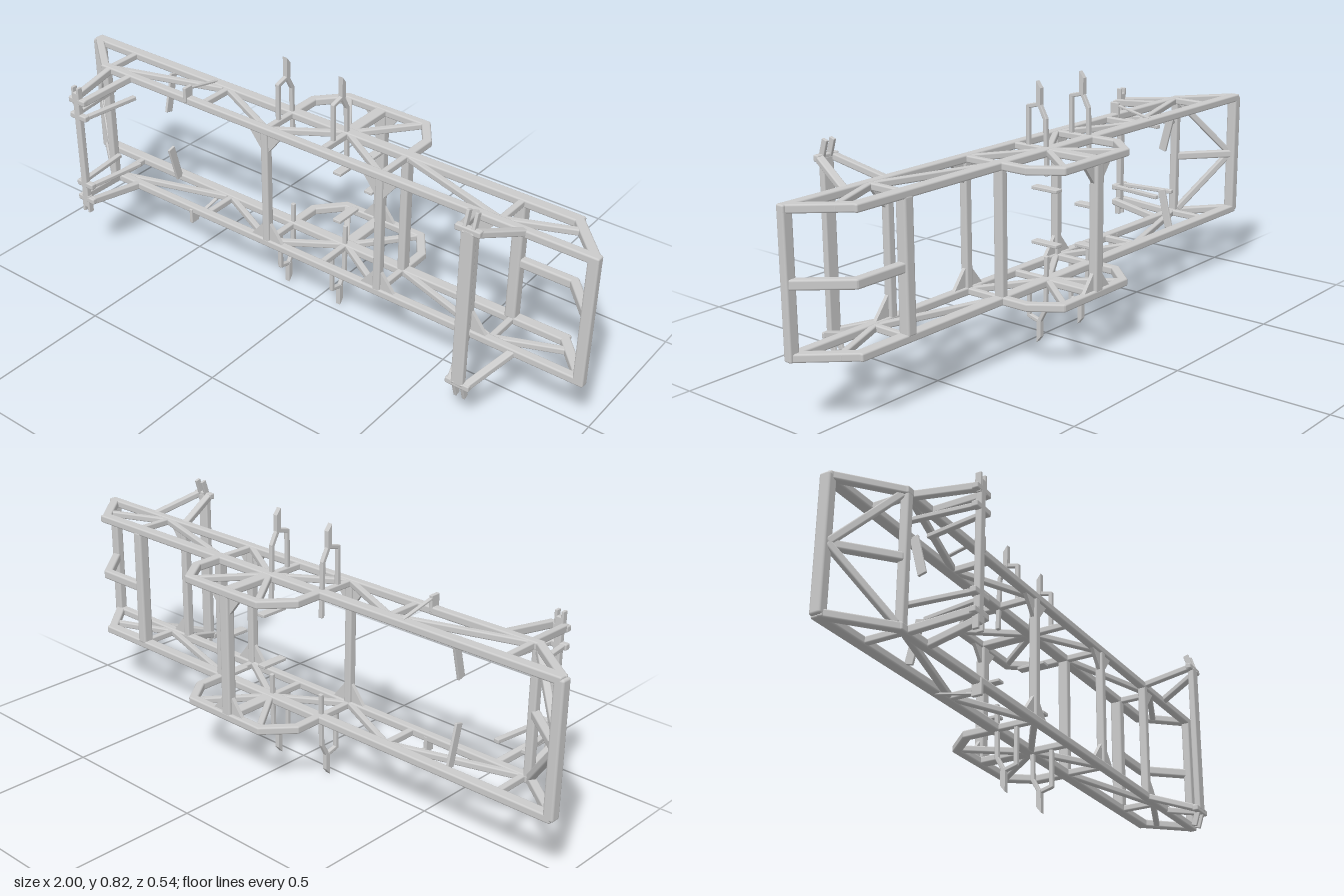
import * as THREE from 'three';
import { RoundedBoxGeometry } from 'three/addons/geometries/RoundedBoxGeometry.js';

const MID = 0.4125; // height of the symmetry plane
const SIDE = 0.204; // distance of each side truss from it
const ZF = 0.066, ZB = -0.069; // front and back rail

export function createModel() {
  const model = new THREE.Group();
  const material = new THREE.MeshStandardMaterial({ color: 0xcccccc });

  // Square tube between two points; w lies across, h along the up hint
  function bar(name, a, b, w, h, parent = model) {
    const p = new THREE.Vector3(...a), q = new THREE.Vector3(...b);
    const d = q.clone().sub(p);
    const len = d.length();
    const r = Math.min(w, h) * 0.22;
    const mesh = new THREE.Mesh(new RoundedBoxGeometry(w, h, len, 2, r), material);
    mesh.name = name;
    if (Math.abs(d.y) > 0.8 * len) mesh.up.set(0, 0, 1);
    mesh.position.copy(p).add(q).multiplyScalar(0.5);
    mesh.lookAt(q);
    parent.add(mesh);
  }

  // Chain of tubes, each lengthened slightly so the corners close
  function chain(name, points, w, h, parent) {
    for (let i = 1; i < points.length; i++) {
      const a = new THREE.Vector3(...points[i - 1]), b = new THREE.Vector3(...points[i]);
      const e = b.clone().sub(a).setLength(w * 0.3);
      bar(name, a.sub(e).toArray(), b.add(e).toArray(), w, h, parent);
    }
  }

  // Triangular corner plate at the end of a cross tube
  function gusset(x, z, dir, s, parent) {
    const y = MID + s * (SIDE - 0.01);
    const x0 = x + dir * 0.01;
    const shape = new THREE.Shape([
      new THREE.Vector2(x0, y),
      new THREE.Vector2(x0 + dir * 0.052, y),
      new THREE.Vector2(x0, y - s * 0.066),
    ]);
    const geo = new THREE.ExtrudeGeometry(shape, { depth: 0.012, bevelEnabled: false });
    const mesh = new THREE.Mesh(geo, material);
    mesh.name = 'gusset';
    mesh.position.z = z - 0.006;
    parent.add(mesh);
  }

  for (const s of [1, -1]) {
    const side = new THREE.Group();
    side.name = s > 0 ? 'upperSide' : 'lowerSide';
    model.add(side);
    const Y = (v) => MID + s * v;
    const flat = (pts) => pts.map(([x, z]) => [x, Y(SIDE), z]);

    // Rails, slanted ends and the hoop
    bar('backRail', ...flat([[-0.99, ZB], [0.875, ZB]]), 0.036, 0.025, side);
    bar('frontRail', ...flat([[-0.83, ZF], [1, ZF]]), 0.028, 0.025, side);
    chain('slantedEnd', flat([[-0.98, ZB + 0.004], [-0.82, ZF]]), 0.026, 0.025, side);
    chain('slantedEnd', flat([[0.865, ZB + 0.004], [0.98, ZF - 0.004]]), 0.03, 0.025, side);
    chain('hoop', flat([[-0.135, ZB], [-0.135, -0.17], [-0.06, -0.253], [0.235, -0.253],
      [0.295, -0.17], [0.295, ZB]]), 0.028, 0.025, side);

    // Web braces: start x, z, end x, z
    const braces = [
      [-0.055, -0.25, 0.065, -0.085], [0.225, -0.25, 0.09, -0.085],
      [0.06, -0.06, -0.125, 0.06], [0.09, -0.06, 0.285, 0.06],
      [-0.385, -0.055, -0.145, 0.06], [-0.79, 0.06, -0.41, -0.055],
      [0.31, -0.06, 0.68, 0.055], [0.69, 0.055, 0.91, -0.035],
    ];
    for (const [x1, z1, x2, z2] of braces) {
      bar('webBrace', ...flat([[x1, z1], [x2, z2]]), 0.02, 0.02, side);
    }
    bar('hoopSpoke', ...flat([[0.075, -0.25], [0.075, ZB]]), 0.038, 0.022, side);
    for (const x of [-0.8, -0.395, -0.135, 0.075, 0.295, 0.69]) {
      bar('webPost', ...flat([[x, ZB], [x, ZF]]), 0.02, 0.021, side);
    }

    // Corner plates
    for (const x of [-0.135, 0.295]) for (const d of [1, -1]) gusset(x, ZF, d, s, side);
    for (const d of [1, -1]) gusset(0.075, -0.25, d, s, side);
    gusset(0.62, ZF, 1, s, side);

    // Mounting forks with a spike
    for (const x of [-0.135, 0.075]) {
      const pts = [[0.2, 0.005], [0.332, 0.005], [0.343, -0.037], [0.3, -0.06], [0.13, -0.064]];
      chain('mountingFork', pts.map(([v, z]) => [x, Y(v), z]), 0.014, 0.013, side);
      const tip = new THREE.Shape([[-0.029, 0.34], [-0.029, 0.4125], [-0.045, 0.392], [-0.045, 0.34]]
        .map(([z, v]) => new THREE.Vector2(-z, Y(v))));
      const spike = new THREE.Mesh(
        new THREE.ExtrudeGeometry(tip, { depth: 0.016, bevelEnabled: false }), material);
      spike.name = 'forkSpike';
      spike.rotation.y = Math.PI / 2;
      spike.position.x = x - 0.008;
      side.add(spike);
    }

    // Narrow stand near the right end
    for (const [x1, x2] of [[-0.795, -0.77], [-0.7, -0.727]]) {
      bar('outerStandLeg', [x1, Y(0.205), 0.06], [x2, Y(0.183), 0.262], 0.021, 0.024, side);
      bar('innerStandLeg', [x1, Y(0.127), 0.06], [x2, Y(0.127), 0.262], 0.018, 0.014, side);
    }
    for (const v of [0.183, 0.127]) {
      bar('standCrossPiece', [-0.785, Y(v), 0.26], [-0.715, Y(v), 0.26], 0.02, 0.02, side);
    }
    for (const x of [-0.764, -0.742]) {
      bar('standPin', [x, Y(0.17), 0.26], [x, Y(0.232), 0.26], 0.009, 0.019, side);
    }

    // Wide stand near the left end
    for (const [x1, x2] of [[0.615, 0.668], [0.775, 0.715]]) {
      bar('wideStandLeg', [x1, Y(0.203), 0.06], [x2, Y(0.26), 0.228], 0.024, 0.02, side);
    }
    bar('wideStandCrossPiece', [0.65, Y(0.26), 0.225], [0.73, Y(0.26), 0.225], 0.02, 0.02, side);
    for (const x of [0.678, 0.706]) {
      bar('wideStandPin', [x, Y(0.25), 0.228], [x, Y(0.313), 0.208], 0.01, 0.019, side);
    }

    // Hanging tab, slanted bracket and small prongs
    bar('hangingTab', [-0.62, Y(0.2), -0.045], [-0.62, Y(0.07), -0.012], 0.009, 0.028, side);
    bar('bracketBlock', [-0.452, Y(0.2), 0.068], [-0.452, Y(0.252), 0.068], 0.012, 0.034, side);
    bar('bracketArm', [-0.452, Y(0.243), 0.06], [-0.452, Y(0.215), -0.07], 0.012, 0.006, side);
    bar('innerProng', [0.075, Y(0.086), -0.015], [0.075, Y(0.086), -0.112], 0.03, 0.011, side);
    bar('hoopProng', [0.075, Y(0.063), -0.18], [0.075, Y(0.063), -0.24], 0.03, 0.011, side);

    // Right end diagonal
    bar('endDiagonal', [-0.98, MID, ZB + 0.01], [-0.825, Y(0.195), ZF - 0.008], 0.022, 0.022, side);
  }

  // Tubes joining the two sides: name, x, z, width x, depth z, half length
  const crossTubes = [
    ['crossTube', -0.135, ZF, 0.026, 0.027, 0.2],
    ['crossTube', 0.295, ZF, 0.026, 0.027, 0.2],
    ['crossTube', 0.295, ZB, 0.026, 0.034, 0.2],
    ['crossTube', 0.615, ZF, 0.026, 0.027, 0.2],
    ['crossTube', 0.685, ZB, 0.036, 0.038, 0.2],
    ['hoopCrossTube', 0.075, -0.251, 0.036, 0.031, 0.2],
    ['leftEndTube', 0.983, ZF, 0.034, 0.028, 0.21],
    ['rightEndTube', -0.982, ZB, 0.034, 0.036, 0.21],
    ['rightFrontTube', -0.815, ZF, 0.026, 0.027, 0.2],
    ['standTube', -0.753, 0.26, 0.024, 0.02, 0.215],
    ['wideStandTube', 0.69, 0.225, 0.04, 0.021, 0.262],
  ];
  for (const [name, x, z, w, d, half] of crossTubes) {
    bar(name, [x, MID - half, z], [x, MID + half, z], w, d);
  }

  // Middle struts at the two slanted ends
  chain('leftMiddleStrut', [[0.685, MID, ZB], [0.87, MID, ZB], [0.98, MID, ZF - 0.01]], 0.028, 0.03);
  bar('rightMiddleStrut', [-0.98, MID, ZB], [-0.82, MID, ZF], 0.026, 0.026);

  return model;
}
